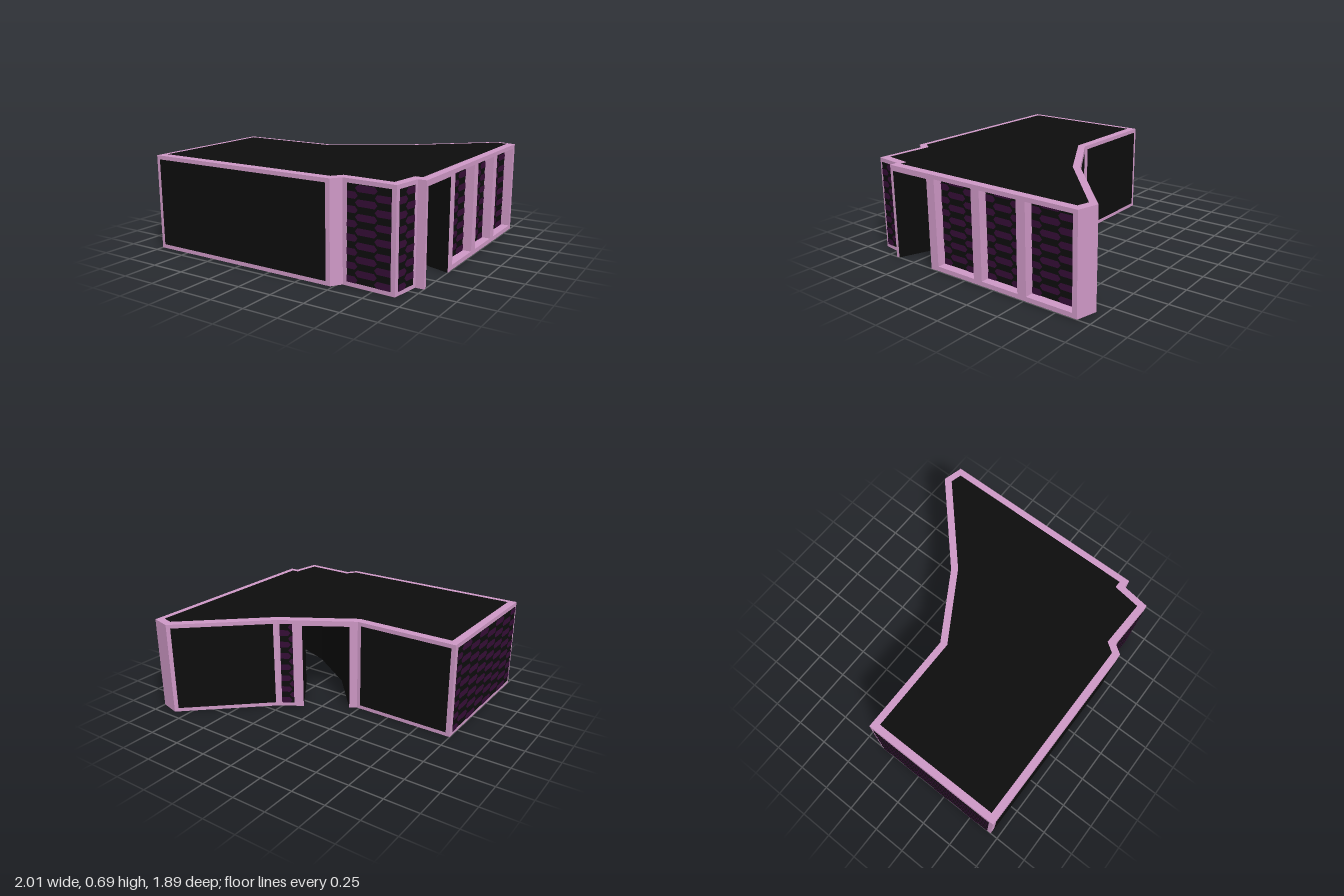
import * as THREE from 'three';

const mat = (name, color, side = THREE.FrontSide) => {
  const m = new THREE.MeshStandardMaterial({ color, side });
  m.name = name;
  return m;
};

// Plan outline as [x, z], walked so that every wall faces outward
const OUTLINE = [
  [-1, 0.94], [0.48, 0.94], [0.53, 0.87], [0.91, 0.885], [0.94, 0.675], [1, 0.675],
  [1, -0.905], [0.85, -0.945], [0.27, -0.42], [-0.23, -0.12], [-1, -0.12],
];
const H = 0.69, CEILING = 0.65, LOW = 0.03, HIGH = 0.663, LIFT = 0.004;

// Side walls of the curved passage
const NEAR_ARC = [[1, 0.32], [0.62, 0.2], [0.34, 0], [0.115, -0.327]];
const FAR_ARC = [[1, 0.65], [0.52, 0.46], [0.13, 0.2], [-0.18, -0.15]];

const shapeOf = (pts) => new THREE.Shape(pts.map(([x, y]) => new THREE.Vector2(x, y)));
const rect = (u0, u1, y0, y1) => [[u0, y0], [u1, y0], [u1, y1], [u0, y1]];

// Horizontal polygon facing up or down
function flat(pts, y, up) {
  const g = new THREE.ShapeGeometry(shapeOf(pts.map(([x, z]) => [x, up ? -z : z])));
  g.rotateX(up ? -Math.PI / 2 : Math.PI / 2);
  return g.translate(0, y, 0);
}

// Outline moved inward by d with mitred corners
function inset(pts, d) {
  const n = pts.length;
  const unit = (a, b) => {
    const l = Math.hypot(b[0] - a[0], b[1] - a[1]);
    return [(b[0] - a[0]) / l, (b[1] - a[1]) / l];
  };
  return pts.map((p, i) => {
    const e = unit(pts[(i + n - 1) % n], p), f = unit(p, pts[(i + 1) % n]);
    const m = [e[1] + f[1], -e[0] - f[0]];
    const k = d / (1 + e[0] * f[0] + e[1] * f[1]);
    return [p[0] + m[0] * k, p[1] + m[1] * k];
  });
}

// Staggered rows of six-sided cells, clipped to the pane
function cellShapes(u0, u1, y0, y1) {
  const W = 0.14, P = 0.09, shapes = [];
  const clamp = THREE.MathUtils.clamp;
  for (let c = 0, u = u0 - W / 2; u < u1; c++, u += W) {
    for (let y = y0 + (c % 2 ? P / 2 : 0); y < y1 - 0.005; y += P) {
      const t = Math.min(y + P / 2, y1), m = (y + t) / 2;
      const l = clamp(u + 0.01, u0, u1), r = clamp(u + W - 0.01, u0, u1);
      if (r - l < 0.005) continue;
      shapes.push(shapeOf([
        [l, y], [r, y], [clamp(u + W + 0.01, u0, u1), m], [r, t], [l, t], [clamp(u - 0.01, u0, u1), m],
      ]));
    }
  }
  return shapes;
}

export function createModel() {
  const model = new THREE.Group();
  model.name = 'building';
  const pink = mat('pinkFrame', 0xce98c6);
  const black = mat('blackPanel', 0x0d0d0d);
  const blackInside = mat('blackPassage', 0x0b0b0b, THREE.DoubleSide);
  const purple = mat('purplePattern', 0x350d36);

  const add = (parent, name, geometry, material, z = 0) => {
    const m = new THREE.Mesh(geometry, material);
    m.name = name;
    m.position.z = z;
    parent.add(m);
    return m;
  };

  // Group whose x runs from a to b along a wall and whose z points outward
  const wallGroup = (name, a, b) => {
    const g = new THREE.Group();
    g.name = name;
    g.position.set(a[0], 0, a[1]);
    g.rotation.y = Math.atan2(a[1] - b[1], b[0] - a[0]);
    model.add(g);
    return g;
  };

  const pane = (wall, name, u0, u1, patterned, z = LIFT, y0 = LOW, y1 = HIGH) => {
    add(wall, name, new THREE.ShapeGeometry(shapeOf(rect(u0, u1, y0, y1))), black, z);
    if (patterned) {
      add(wall, name + 'Pattern', new THREE.ShapeGeometry(cellShapes(u0, u1, y0, y1)), purple, z + 0.003);
    }
  };

  // Wall face with a doorway notch up to the ceiling of the passage
  const notched = (end, d0, d1) => shapeOf([
    [0, 0], [d0, 0], [d0, CEILING], [d1, CEILING], [d1, 0], [end, 0], [end, H], [0, H],
  ]);

  const NAMES = ['frontWall', 'cornerReturn', 'cornerFrontWall', 'cornerSideWall', 'cornerStep',
    'sideWall', 'backEdge', 'slantedBackWall', 'passageBackWall', 'straightBackWall', 'endWall'];
  const walls = {}, lengths = {};
  NAMES.forEach((name, i) => {
    const a = OUTLINE[i], b = OUTLINE[(i + 1) % OUTLINE.length];
    const L = Math.hypot(b[0] - a[0], b[1] - a[1]);
    const w = wallGroup(name, a, b);
    walls[name] = w;
    lengths[name] = L;
    if (name === 'sideWall') {
      // Doorway part, then a thick part with deep window openings
      add(w, 'doorwayFace', new THREE.ShapeGeometry(notched(0.39, 0.025, 0.355)), pink);
      const s = shapeOf(rect(0.39, L, 0.002, H));
      for (const [u0, u1] of [[0.425, 0.755], [0.825, 1.125], [1.195, 1.545]]) {
        s.holes.push(new THREE.Path(shapeOf(rect(u0, u1, 0.035, 0.66)).getPoints()));
        pane(w, 'recessedWindow', u0, u1, true, -0.066, 0.035, 0.66);
      }
      add(w, 'windowFrame', new THREE.ExtrudeGeometry(s, { depth: 0.07, bevelEnabled: false }), pink, -0.07);
    } else if (name === 'passageBackWall') {
      add(w, 'doorwayFace', new THREE.ShapeGeometry(notched(L, L * 0.31, L * 0.9)), pink);
    } else {
      add(w, name + 'Face', new THREE.ShapeGeometry(shapeOf(rect(0, L, 0, H))), pink);
    }
  });

  // Flush panels and patterned windows
  for (const name of ['frontWall', 'slantedBackWall', 'straightBackWall']) {
    pane(walls[name], 'darkPanel', 0.03, lengths[name] - 0.03, false);
  }
  pane(walls.endWall, 'endWindow', 0.03, lengths.endWall - 0.03, true);
  pane(walls.cornerFrontWall, 'cornerFrontWindow', 0.035, 0.35, true);
  pane(walls.cornerSideWall, 'cornerSideWindow', 0.025, 0.18, true);
  pane(walls.passageBackWall, 'narrowWindow', 0.018, 0.11, true);

  // Roof rim and roof field
  add(model, 'roofRim', flat(OUTLINE, H, true), pink);
  add(model, 'roofField', flat(inset(OUTLINE, 0.052), H + LIFT, true), black);

  // Passage walls and ceiling
  for (const arc of [NEAR_ARC, FAR_ARC]) {
    for (let i = 0; i + 1 < arc.length; i++) {
      const [a, b] = [arc[i], arc[i + 1]];
      const L = Math.hypot(b[0] - a[0], b[1] - a[1]);
      add(wallGroup('passageWall', a, b), 'passageWallFace',
        new THREE.ShapeGeometry(shapeOf(rect(0, L, 0, CEILING))), blackInside);
    }
  }
  add(model, 'passageCeiling', flat([...NEAR_ARC, ...FAR_ARC.slice().reverse()], CEILING, false), blackInside);

  // Undersides of the two blocks either side of the passage
  add(model, 'smallBlockBase', flat([...OUTLINE.slice(6, 9), ...NEAR_ARC.slice().reverse()], 0, false), black);
  add(model, 'largeBlockBase',
    flat([...OUTLINE.slice(0, 6), ...FAR_ARC, ...OUTLINE.slice(9)], 0, false), black);

  return model;
}
